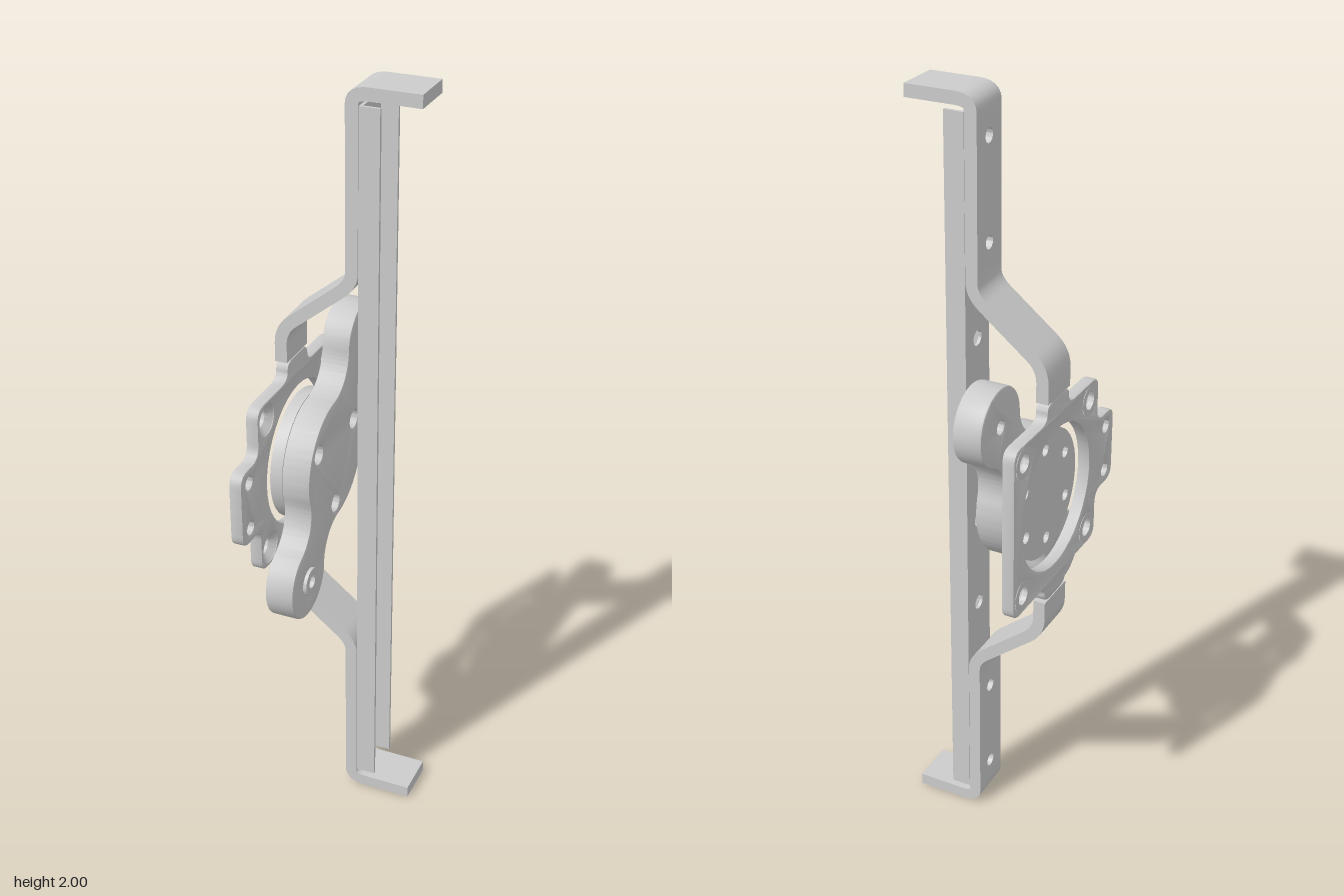
import * as THREE from 'three';
import { toCreasedNormals } from 'three/addons/utils/BufferGeometryUtils.js';

const CZ = -0.028, CY = 1;           // hub axis, running along x
const STRAP_W = 0.12, STRAP_T = 0.032;
const mat = new THREE.MeshStandardMaterial({ color: 0xcccccc, side: THREE.DoubleSide });

function mesh(name, geo) {
  const m = new THREE.Mesh(toCreasedNormals(geo, 0.6), mat);
  m.name = name;
  return m;
}

// Points along a polyline with its corners rounded
function rounded(pts, r, closed) {
  const out = [], n = pts.length;
  const v = pts.map(p => new THREE.Vector2(p[0], p[1]));
  for (let i = 0; i < n; i++) {
    if (!closed && (i === 0 || i === n - 1)) { out.push(v[i]); continue; }
    const c = v[i], a = v[(i + n - 1) % n], b = v[(i + 1) % n];
    const toward = p => {
      const d = p.clone().sub(c), len = d.length();
      return c.clone().addScaledVector(d, Math.min(r, len * 0.49) / len);
    };
    out.push(...new THREE.QuadraticBezierCurve(toward(a), c, toward(b)).getPoints(6));
  }
  return out;
}

// Flat part: (z, y) shape given thickness from x0 to x1, holes as [z, y, r]
function plate(name, shape, x0, x1, holes = [], bevel = 0) {
  for (const [z, y, r] of holes) {
    const h = new THREE.Path();
    h.absarc(z, y, r, 0, Math.PI * 2, true);
    shape.holes.push(h);
  }
  const geo = new THREE.ExtrudeGeometry(shape, {
    depth: x1 - x0 - 2 * bevel, bevelEnabled: bevel > 0, bevelThickness: bevel,
    bevelSize: bevel, bevelOffset: -bevel, bevelSegments: 2, curveSegments: 20,
  });
  geo.rotateY(-Math.PI / 2).translate(x1 - bevel, 0, 0);
  return mesh(name, geo);
}

function rect(w, y0, y1) {
  const a = CZ - w / 2, b = CZ + w / 2;
  return new THREE.Shape([[a, y0], [b, y0], [b, y1], [a, y1]].map(p => new THREE.Vector2(...p)));
}

function circle(z, y, r) {
  const s = new THREE.Shape();
  s.absarc(z, y, r, 0, Math.PI * 2);
  return s;
}

// Bent strip following an (x, y) centre line
function bentStrip(name, pts) {
  const path = rounded(pts, 0.04, false), left = [], right = [];
  path.forEach((p, i) => {
    const a = path[Math.max(i - 1, 0)], b = path[Math.min(i + 1, path.length - 1)];
    const t = b.clone().sub(a).normalize();
    const n = new THREE.Vector2(-t.y, t.x).multiplyScalar(STRAP_T / 2);
    left.push(p.clone().add(n));
    right.unshift(p.clone().sub(n));
  });
  const geo = new THREE.ExtrudeGeometry(new THREE.Shape([...left, ...right]), { depth: STRAP_W, bevelEnabled: false });
  return mesh(name, geo.translate(0, 0, CZ - STRAP_W / 2));
}

function strap() {
  const g = new THREE.Group();
  g.name = 'strap';
  for (const flip of [false, true]) {
    const fy = y => (flip ? 2 - y : y);
    const side = flip ? 'lower' : 'upper';
    const line = pts => pts.map(([x, y]) => [x, fy(y)]);
    g.add(bentStrip(side + 'EndFlange', line([[0.185, 1.984], [0.016, 1.984], [0.016, 1.93]])));
    g.add(bentStrip(side + 'Offset', line([[0.016, 1.58], [0.016, 1.52], [-0.171, 1.37], [-0.171, 1.28]])));
    const ys = [fy(1.58), fy(1.93)].sort((a, b) => a - b);
    g.add(plate(side + 'Straight', rect(STRAP_W, ys[0], ys[1]), 0, STRAP_T,
      [[CZ, fy(1.89), 0.018], [CZ, fy(1.635), 0.018]]));
  }
  return g;
}

// Thin U channel, open towards +x
function rail() {
  const g = new THREE.Group();
  g.name = 'rail';
  const y0 = 0.05, y1 = 1.955, wall = 0.008, holes = [];
  for (let i = 0; i < 8; i++) holes.push([CZ, 0.117 + i * 0.2533, 0.02]);
  g.add(plate('railFloor', rect(STRAP_W, y0, y1), 0.033, 0.041, holes));
  for (const s of [-1, 1]) {
    const geo = new THREE.BoxGeometry(0.052, y1 - y0, wall);
    geo.translate(0.059, (y0 + y1) / 2, CZ + s * (STRAP_W - wall) / 2);
    g.add(mesh('railWall', geo));
  }
  return g;
}

// Square plate with a side tab, strap stubs and a large round opening
function mountingPlate() {
  const g = new THREE.Group();
  g.name = 'mountingPlate';
  const h = 0.233, w = STRAP_W / 2, e = 0.28, t = 0.103;
  const outline = [[-h, -h], [-w, -h], [-w, -e], [w, -e], [w, -h], [h, -h], [h, -t], [0.333, -t],
    [0.333, t], [h, t], [h, h], [w, h], [w, e], [-w, e], [-w, h], [-h, h]]
    .map(([z, y]) => [z + CZ, y + CY]);
  const holes = [[CZ, CY, 0.19], [0.26, 1.064, 0.018], [0.26, 0.936, 0.018]];
  for (const sz of [-1, 1]) for (const sy of [-1, 1]) {
    const z = CZ + sz * 0.182, y = CY + sy * 0.184;
    holes.push([z, y, 0.04]);
    // countersunk screw seat
    const seat = new THREE.LatheGeometry([[0.042, -0.187], [0.024, -0.187], [0.024, -0.172], [0.042, -0.155]]
      .map(p => new THREE.Vector2(...p)), 24);
    g.add(mesh('screwSeat', seat.rotateZ(-Math.PI / 2).translate(0, y, z)));
  }
  g.add(plate('plateBody', new THREE.Shape(rounded(outline, 0.035, true)), -0.187, -0.153, holes, 0.005));
  return g;
}

// Two-lobed arm turning on the round hub
function rotor() {
  const g = new THREE.Group();
  g.name = 'rotor';
  const R = 0.17, r = 0.1, L = 0.318, f = 0.1, axis = Math.atan2(0.262, -0.18);
  const u = ((R + f) ** 2 - (r + f) ** 2 + L * L) / (2 * L);
  const v = Math.sqrt((R + f) ** 2 - u * u);
  const beta = Math.atan2(v, u), gamma = Math.atan2(v, u - L);
  const shape = new THREE.Shape(), lobes = [];
  for (const a of [axis, axis + Math.PI]) {
    const at = (p, q) => [CZ + p * Math.cos(a) - q * Math.sin(a), CY + p * Math.sin(a) + q * Math.cos(a)];
    shape.absarc(...at(u, -v), f, a + Math.PI - beta, a + Math.PI - gamma, true);
    shape.absarc(...at(L, 0), r, a - gamma, a + gamma, false);
    shape.absarc(...at(u, v), f, a + gamma + Math.PI, a + beta + Math.PI, true);
    shape.absarc(CZ, CY, R, a + beta, a + Math.PI - beta, false);
    lobes.push(at(L, 0));
  }
  const ring = (n, start, rad) => Array.from({ length: n }, (_, i) => {
    const a = start + i * Math.PI * 2 / n;
    return [CZ + 0.127 * Math.cos(a), CY + 0.127 * Math.sin(a), rad];
  });
  const start = 0.57;
  g.add(plate('arm', shape, -0.125, -0.049,
    [...lobes.map(p => [...p, 0.017]), ...ring(3, start, 0.024)], 0.006));
  g.add(plate('hub', circle(CZ, CY, R), -0.156, -0.124, ring(6, start, 0.016)));
  for (const p of lobes) g.add(plate('lobeBoss', circle(...p, 0.037), -0.05, -0.04, [[...p, 0.017]]));
  return g;
}

export function createModel() {
  const model = new THREE.Group();
  model.name = 'bracketAssembly';
  model.add(strap(), rail(), mountingPlate(), rotor());
  return model;
}
